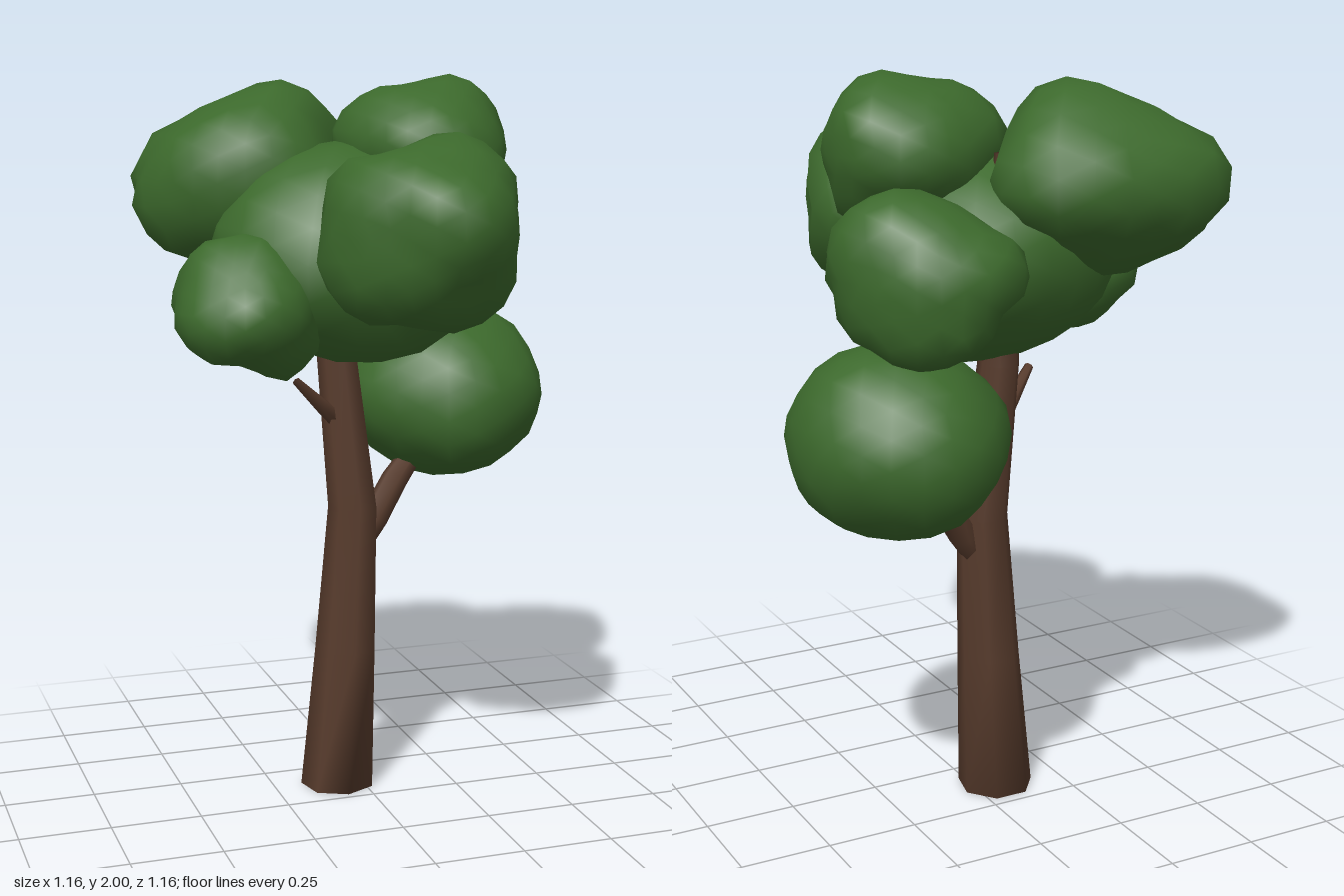
import * as THREE from 'three';
import { mergeVertices } from 'three/addons/utils/BufferGeometryUtils.js';

const leaf = new THREE.MeshStandardMaterial({ color: 0x3c692c });
leaf.name = 'leaf green';
const bark = new THREE.MeshStandardMaterial({ color: 0x573b2c });
bark.name = 'bark brown';

// Lumpy ellipsoid whose surface is drawn towards a few corner points
function clump(center, semi, corners) {
  const c = new THREE.Vector3(...center);
  const s = new THREE.Vector3(...semi);
  const pulls = corners.map((p) => {
    const v = new THREE.Vector3(...p).sub(c).divide(s);
    const size = v.length();
    return { dir: v.normalize(), size };
  });
  const ico = new THREE.IcosahedronGeometry(1, 3);
  ico.deleteAttribute('uv');
  ico.deleteAttribute('normal');
  const geo = mergeVertices(ico, 1e-4);
  const pos = geo.attributes.position;
  const u = new THREE.Vector3();
  for (let i = 0; i < pos.count; i++) {
    u.fromBufferAttribute(pos, i).normalize();
    let sum = 0.12 * 0.95, weight = 0.12;
    for (const { dir, size } of pulls) {
      const w = Math.exp(-24 * (1 - u.dot(dir)));
      sum += w * size;
      weight += w;
    }
    u.multiplyScalar(sum / weight).multiply(s).add(c);
    pos.setXYZ(i, u.x, u.y, u.z);
  }
  geo.computeVertexNormals();
  return geo;
}

// Tapered limb through rings [x, y, z, radius], with closed ends
function limb(rings, sides, level = false) {
  const verts = [], index = [];
  const up = new THREE.Vector3(0, 1, 0);
  const at = (i) => new THREE.Vector3(...rings[i].slice(0, 3));
  const last = rings.length - 1;
  rings.forEach((ring, i) => {
    const dir = at(Math.min(i + 1, last)).sub(at(Math.max(i - 1, 0))).normalize();
    const q = new THREE.Quaternion().setFromUnitVectors(up, level ? up : dir);
    for (let k = 0; k < sides; k++) {
      const a = (k / sides) * Math.PI * 2;
      const v = new THREE.Vector3(Math.sin(a), 0, Math.cos(a)).multiplyScalar(ring[3]).applyQuaternion(q).add(at(i));
      verts.push(v.x, v.y, v.z);
      if (i < last) {
        const b = i * sides + k, n = i * sides + ((k + 1) % sides);
        index.push(b, n, n + sides, b, n + sides, b + sides);
      }
    }
  });
  const top = last * sides;
  for (let k = 1; k < sides - 1; k++) index.push(0, k + 1, k, top, top + k, top + k + 1);
  const geo = new THREE.BufferGeometry();
  geo.setAttribute('position', new THREE.Float32BufferAttribute(verts, 3));
  geo.setIndex(index);
  geo.computeVertexNormals();
  return geo;
}

// Each clump: centre, half sizes, corner points
const clumps = {
  coreFoliage: [[-0.04, 1.53, -0.1], [0.37, 0.29, 0.35], [
    [-0.42, 1.59, 0], [-0.34, 1.5, 0.14], [-0.24, 1.45, 0.24], [-0.05, 1.24, 0], [-0.2, 1.27, -0.05],
    [0.16, 1.25, -0.05], [0.28, 1.33, -0.08], [0.35, 1.48, -0.05], [-0.05, 1.83, -0.05], [-0.28, 1.75, 0.02],
    [0.12, 1.6, -0.43], [0.2, 1.6, -0.31], [0.28, 1.45, 0.12], [-0.05, 1.25, 0.13], [0.05, 1.45, 0.24]]],
  lowerSideFoliage: [[0.29, 1.1, -0.27], [0.285, 0.24, 0.295], [
    [0.575, 1.07, -0.28], [0.56, 1.2, -0.25], [0.5, 1.3, -0.25], [0.55, 0.96, -0.25], [0.43, 0.87, -0.27],
    [0.28, 0.86, -0.2], [0.28, 0.86, -0.38], [0.1, 0.93, -0.25], [0.03, 1.0, -0.25], [0.0, 1.14, -0.25],
    [0.22, 1.33, -0.17], [0.41, 1.34, -0.3], [0.3, 1.33, -0.38], [0.3, 1.26, -0.49], [0.35, 1.1, -0.565],
    [0.22, 1.08, -0.56], [0.3, 0.96, -0.53], [0.36, 1.13, 0.025], [0.3, 0.97, 0.01], [0.3, 1.26, -0.05],
    [0.5, 1.1, -0.47], [0.52, 1.12, -0.07], [0.45, 1.1, -0.01]]],
  frontFoliage: [[0.04, 1.61, 0.3], [0.26, 0.24, 0.27], [
    [0.15, 1.86, 0.26], [-0.02, 1.82, 0.25], [0.25, 1.79, 0.22], [0.105, 1.64, 0.575], [0.08, 1.71, 0.56],
    [0.06, 1.5, 0.51], [0.12, 1.37, 0.4], [0.1, 1.385, 0.25], [0.22, 1.4, 0.3], [-0.09, 1.6, 0.46],
    [0.18, 1.62, 0.5], [0.08, 1.79, 0.42], [-0.24, 1.5, 0.25], [-0.18, 1.42, 0.27], [-0.21, 1.67, 0.28],
    [-0.2, 1.76, 0.22], [-0.19, 1.58, 0.35], [0.295, 1.7, 0.2], [0.28, 1.47, 0.24], [0.26, 1.6, 0.36],
    [0.29, 1.6, 0.13], [0.05, 1.57, 0.08]]],
  lowFrontFoliage: [[-0.38, 1.41, 0.08], [0.18, 0.18, 0.2], [
    [-0.49, 1.57, 0.02], [-0.33, 1.6, 0.08], [-0.2, 1.47, 0.12], [-0.26, 1.23, 0.14], [-0.2, 1.28, 0.12],
    [-0.4, 1.265, 0.1], [-0.5, 1.29, 0.08], [-0.565, 1.35, 0.12], [-0.545, 1.46, 0.04], [-0.53, 1.33, 0.2],
    [-0.4, 1.38, 0.295], [-0.28, 1.38, 0.26], [-0.43, 1.51, 0.2], [-0.52, 1.45, -0.1]]],
  backFoliage: [[-0.27, 1.72, -0.28], [0.3, 0.25, 0.29], [
    [-0.14, 1.98, -0.3], [-0.35, 1.93, -0.28], [-0.43, 1.88, -0.28], [-0.52, 1.81, -0.33], [-0.54, 1.73, -0.2],
    [-0.52, 1.75, -0.53], [-0.44, 1.72, -0.575], [-0.33, 1.72, -0.58], [-0.1, 1.74, -0.57], [0.0, 1.76, -0.53],
    [0.06, 1.75, -0.42], [-0.07, 1.78, -0.15], [-0.15, 1.75, -0.03], [-0.26, 1.72, -0.025], [-0.4, 1.7, -0.06],
    [-0.5, 1.68, -0.13], [-0.58, 1.62, -0.28], [-0.56, 1.57, -0.3], [-0.25, 1.47, -0.3], [-0.25, 1.89, -0.48],
    [-0.02, 1.88, -0.4]]],
  topFoliage: [[0.16, 1.8, -0.06], [0.23, 0.19, 0.24], [
    [0.26, 2.0, -0.07], [0.13, 1.975, -0.07], [0.37, 1.93, -0.18], [0.385, 1.8, -0.18], [0.39, 1.82, -0.08],
    [0, 1.95, -0.1], [-0.08, 1.86, -0.14], [-0.07, 1.8, -0.06], [0.14, 1.82, 0.19], [0.05, 1.8, 0.15],
    [0.28, 1.73, 0.14], [0.35, 1.73, 0.02], [0.34, 1.62, -0.05], [0.2, 1.6, -0.03], [0.15, 1.75, -0.29],
    [0.28, 1.78, -0.3], [0.22, 1.93, -0.22], [-0.01, 1.75, 0.04], [0.15, 1.945, 0.07], [0.2, 1.64, -0.19],
    [0.18, 1.65, 0.08]]],
  rearFoliage: [[0.26, 1.53, -0.32], [0.21, 0.2, 0.24], [
    [0.36, 1.74, -0.33], [0.44, 1.7, -0.3], [0.475, 1.64, -0.28], [0.475, 1.5, -0.3], [0.43, 1.36, -0.28],
    [0.38, 1.51, -0.06], [0.34, 1.69, -0.2], [0.33, 1.36, -0.25], [0.32, 1.31, -0.45], [0.22, 1.36, -0.52],
    [0.16, 1.57, -0.565], [0.05, 1.55, -0.51], [0.3, 1.5, -0.55], [0.41, 1.55, -0.45], [0.28, 1.7, -0.43],
    [0.25, 1.62, -0.51]]],
};

const limbs = {
  trunk: [[-0.067, 0, -0.125, 0.105], [-0.04, 0.4, -0.13, 0.087], [-0.015, 0.81, -0.138, 0.07],
    [-0.055, 1.23, -0.15, 0.057], [-0.04, 1.5, -0.18, 0.045], [-0.01, 1.8, -0.26, 0.028]],
  sideBranch: [[-0.01, 0.67, -0.14, 0.03], [0.05, 0.765, -0.15, 0.04], [0.12, 0.87, -0.17, 0.038], [0.27, 1.02, -0.25, 0.025]],
  brokenTwig: [[-0.05, 1.05, -0.14, 0.03], [-0.12, 1.11, -0.105, 0.021], [-0.2, 1.185, -0.06, 0.012]],
  rearBranch: [[-0.04, 1.26, -0.15, 0.032], [0.14, 1.33, -0.15, 0.03], [0.3, 1.38, -0.18, 0.026], [0.34, 1.45, -0.25, 0.02]],
};

export function createModel() {
  const tree = new THREE.Group();
  tree.name = 'tree';
  const add = (name, geometry, material) => {
    const mesh = new THREE.Mesh(geometry, material);
    mesh.name = name;
    tree.add(mesh);
  };
  for (const [name, rings] of Object.entries(limbs)) {
    const isTrunk = name === 'trunk';
    add(name, limb(rings, isTrunk ? 7 : 6, isTrunk), bark);
  }
  for (const [name, shape] of Object.entries(clumps)) add(name, clump(...shape), leaf);
  return tree;
}
